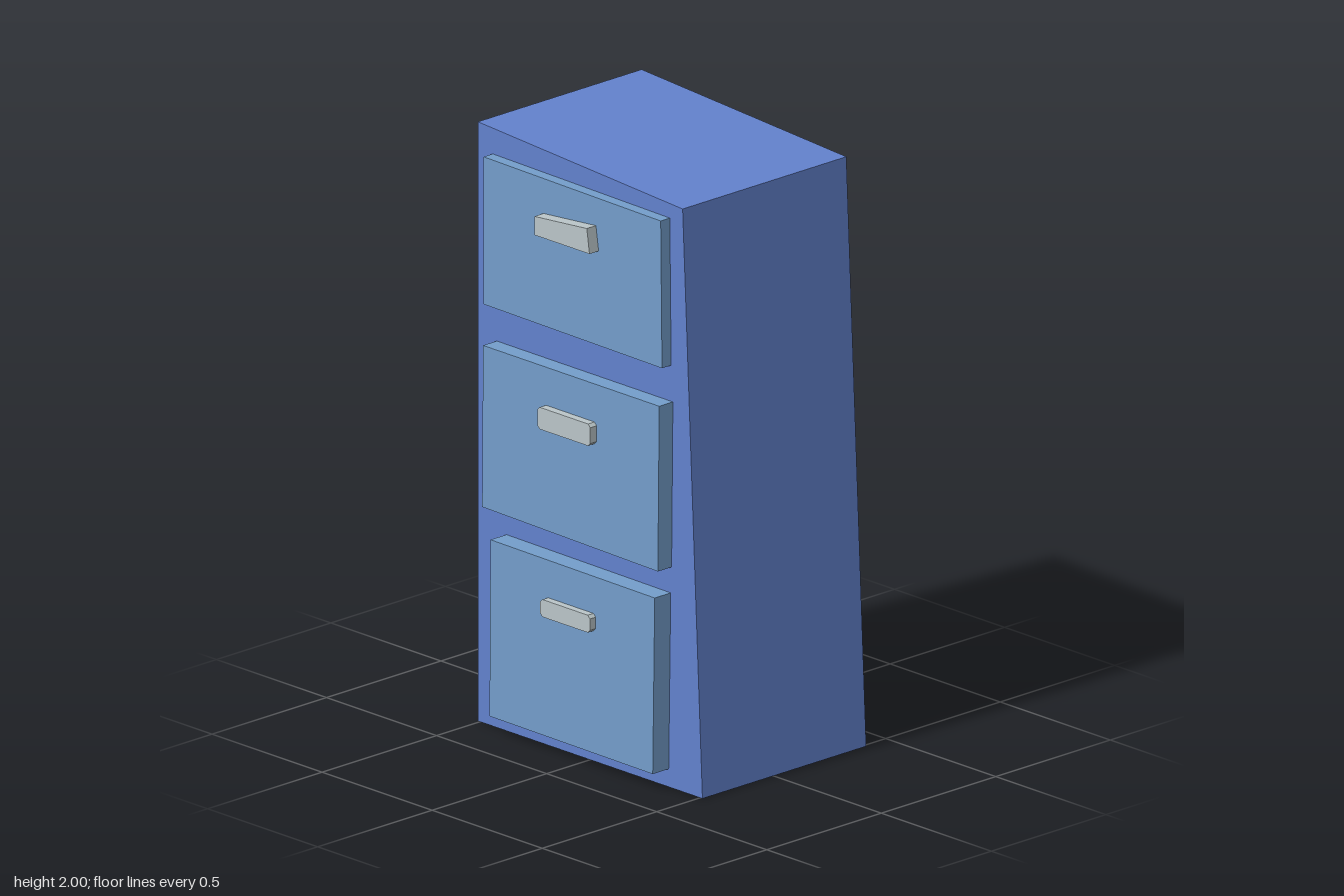
import * as THREE from 'three';

const paint = (name, color) => {
  const m = new THREE.MeshStandardMaterial({ color });
  m.name = name;
  return m;
};

// Extrudes an outline in the xy plane from z0 to z1
function slab(name, points, z0, z1, material) {
  const shape = new THREE.Shape(points.map(([x, y]) => new THREE.Vector2(x, y)));
  const geometry = new THREE.ExtrudeGeometry(shape, { depth: z1 - z0, bevelEnabled: false });
  geometry.translate(0, 0, z0);
  const mesh = new THREE.Mesh(geometry, material);
  mesh.name = name;
  return mesh;
}

// Rectangle outline with small cut corners
function chamfered(x0, x1, y0, y1, c) {
  return [[x0 + c, y0], [x1 - c, y0], [x1, y0 + c], [x1, y1 - c],
    [x1 - c, y1], [x0 + c, y1], [x0, y1 - c], [x0, y0 + c]];
}

export function createModel() {
  const group = new THREE.Group();
  group.name = 'crookedCabinet';
  const bodyBlue = paint('bodyBlue', 0x6281cd);
  const sideIndigo = paint('sideIndigo', 0x5a64cc);
  const drawerBlue = paint('drawerBlue', 0x739dca);
  const handleGrey = paint('handleGrey', 0xbac5c8);

  // Leaning cabinet body; its upright side has its own colour
  const body = slab('cabinetBody', [[-0.51, 0], [0.51, 0], [0.42, 1.945], [-0.51, 2]],
    -0.405, 0.31, [bodyBlue, sideIndigo]);
  const normals = body.geometry.attributes.normal;
  body.geometry.clearGroups();
  for (let i = 0; i < normals.count; i += 3) {
    body.geometry.addGroup(i, 3, normals.getX(i) < -0.9 ? 1 : 0);
  }
  group.add(body);

  // Uneven drawer fronts, each with a handle
  const drawers = [
    { name: 'top', z: 0.35, handleZ: 0.39,
      front: [[-0.442, 1.418], [0.368, 1.41], [0.362, 1.9], [-0.442, 1.91]],
      handle: [[-0.17, 1.728], [0.08, 1.728], [0.068, 1.81], [-0.17, 1.79]] },
    { name: 'middle', z: 0.37, handleZ: 0.398,
      front: [[-0.428, 0.75], [0.37, 0.737], [0.376, 1.29], [-0.424, 1.29]],
      handle: chamfered(-0.148, 0.092, 1.09, 1.163, 0.01) },
    { name: 'bottom', z: 0.38, handleZ: 0.405,
      front: [[-0.384, 0.065], [0.357, 0.06], [0.366, 0.65], [-0.38, 0.655]],
      handle: chamfered(-0.128, 0.098, 0.47, 0.528, 0.01) },
  ];
  for (const d of drawers) {
    group.add(slab(d.name + 'Drawer', d.front, 0.3, d.z, drawerBlue));
    group.add(slab(d.name + 'Handle', d.handle, d.z - 0.005, d.handleZ, handleGrey));
  }
  return group;
}
